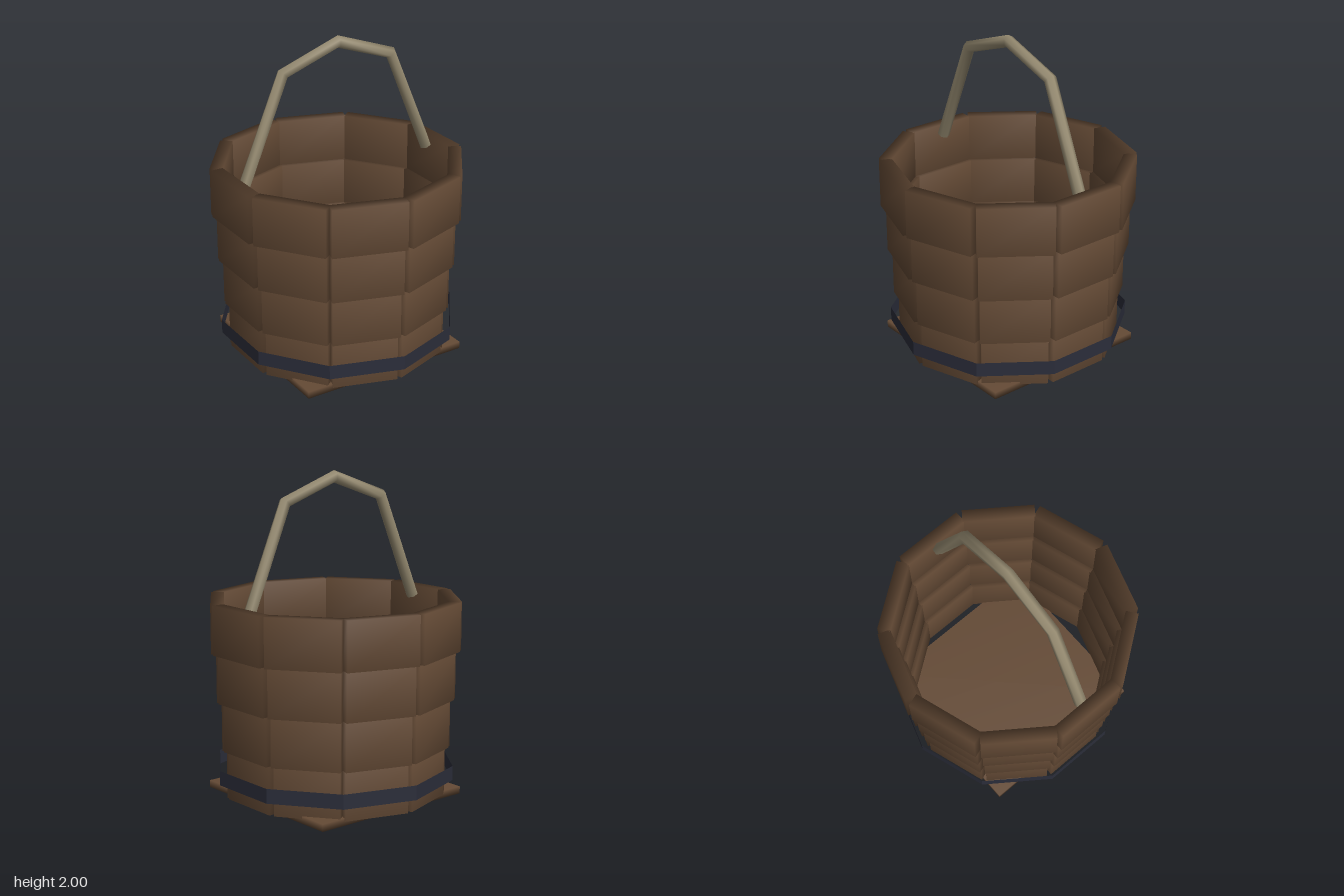
import * as THREE from 'three';
import { mergeVertices } from 'three/addons/utils/BufferGeometryUtils.js';

// Box whose corners share one soft normal
function softBox(w, h, d) {
  const g = new THREE.BoxGeometry(w, h, d);
  g.deleteAttribute('normal');
  g.deleteAttribute('uv');
  const merged = mergeVertices(g);
  merged.computeVertexNormals();
  return merged;
}

// Six-sided bar swept through points in the xy plane, twisted by a phase at each point
function sweptBar(points, radius, phases, sides = 6) {
  const pos = [], index = [];
  const last = points.length - 1;
  const dir = (a, b) => b.clone().sub(a).normalize();
  points.forEach((p, i) => {
    const t = new THREE.Vector2();
    if (i > 0) t.add(dir(points[i - 1], p));
    if (i < last) t.add(dir(p, points[i + 1]));
    t.normalize();
    for (let j = 0; j < sides; j++) {
      const a = (j / sides) * Math.PI * 2 + phases[i];
      const n = Math.cos(a) * radius;
      pos.push(p.x - t.y * n, p.y + t.x * n, Math.sin(a) * radius);
    }
  });
  for (let i = 0; i < last; i++) {
    for (let j = 0; j < sides; j++) {
      const k = (j + 1) % sides;
      const a = i * sides + j, b = i * sides + k;
      index.push(a, b, a + sides, b, b + sides, a + sides);
    }
  }
  // End caps
  const end = last * sides;
  for (let j = 1; j < sides - 1; j++) {
    index.push(0, j + 1, j, end, end + j, end + j + 1);
  }
  const g = new THREE.BufferGeometry();
  g.setAttribute('position', new THREE.Float32BufferAttribute(pos, 3));
  g.setIndex(index);
  g.computeVertexNormals();
  return g;
}

export function createModel() {
  const model = new THREE.Group();
  model.name = 'bucket';
  const wood = new THREE.MeshStandardMaterial({ color: 0x644a35 });
  wood.name = 'brown wood';
  const iron = new THREE.MeshStandardMaterial({ color: 0x2b2d3a, side: THREE.DoubleSide });
  iron.name = 'dark iron';
  const cane = new THREE.MeshStandardMaterial({ color: 0x958a70 });
  cane.name = 'pale cane';

  // Four rings of ten planks, each ring a little wider than the one below
  const count = 10, ringHeight = 0.3;
  [0.665, 0.692, 0.72, 0.75].forEach((outer, row) => {
    const scale = outer / 0.75;
    const thick = 0.08 * scale;
    const geometry = softBox(thick, ringHeight, 0.45 * scale);
    const ring = new THREE.Group();
    ring.name = 'plankRing' + (row + 1);
    for (let i = 0; i < count; i++) {
      const a = (i / count) * Math.PI * 2;
      const r = outer - thick / 2;
      const plank = new THREE.Mesh(geometry, wood);
      plank.name = 'plank';
      plank.position.set(Math.cos(a) * r, 0.03 + ringHeight * (row + 0.5), Math.sin(a) * r);
      plank.rotation.y = -a;
      ring.add(plank);
    }
    model.add(ring);
  });

  // Square bottom board
  const base = new THREE.Mesh(softBox(1.11, 0.045, 1.11), wood);
  base.name = 'bottomBoard';
  base.position.y = 0.0225;
  model.add(base);

  // Faceted iron hoop
  const hoopGeometry = new THREE.CylinderGeometry(0.746, 0.746, 0.09, count, 1, true).toNonIndexed();
  hoopGeometry.computeVertexNormals();
  const hoop = new THREE.Mesh(hoopGeometry, iron);
  hoop.name = 'hoop';
  hoop.position.y = 0.165;
  model.add(hoop);

  // Bent handle, twisted in its two upper spans
  const path = [[-0.655, 1.17], [-0.375, 1.83], [0, 1.962], [0.375, 1.83], [0.655, 1.17]]
    .map(([x, y]) => new THREE.Vector2(x, y));
  const step = Math.PI / 3;
  const handle = new THREE.Mesh(sweptBar(path, 0.038, [0, 0, step, 2 * step, 2 * step]), cane);
  handle.name = 'handle';
  model.add(handle);

  return model;
}
